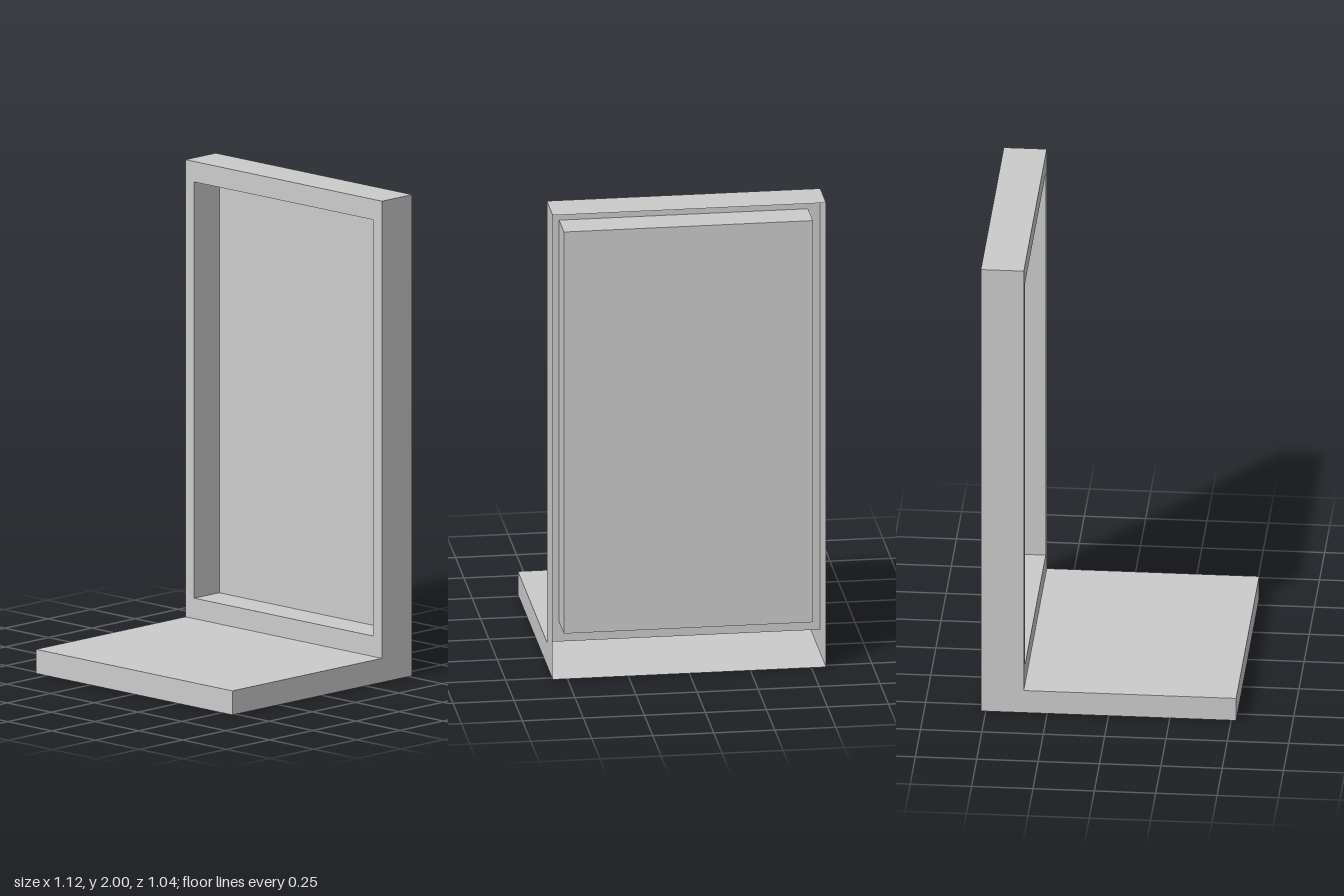
import * as THREE from 'three';

// Main dimensions of the thin-walled L-shaped stand (open at the back)
const W = 0.56, H = 2, BACK = -0.52, FRONT = 0.52;
const FACE = -0.345, BASE = 0.1;
// Recessed window
const RX = 0.51, R0 = 0.185, R1 = 1.915, PANEL = -0.49;

export function createModel() {
  const group = new THREE.Group();
  const material = new THREE.MeshStandardMaterial({ color: 0xcccccc, side: THREE.DoubleSide });

  const add = (name, geometry, x = 0, y = 0, z = 0) => {
    const mesh = new THREE.Mesh(geometry, material);
    mesh.name = name;
    mesh.position.set(x, y, z);
    group.add(mesh);
    return mesh;
  };

  // Horizontal sheet facing up (dir 1) or down (dir -1)
  const level = (name, halfWidth, z0, z1, y, dir) =>
    add(name, new THREE.PlaneGeometry(2 * halfWidth, z1 - z0).rotateX(-dir * Math.PI / 2), 0, y, (z0 + z1) / 2);

  // Outer shell: top, base top, underside and base front edge
  level('frameTop', W, BACK, FACE, H, 1);
  level('baseTop', W, FACE, FRONT, BASE, 1);
  level('baseUnderside', W, BACK, FRONT, 0, -1);
  add('baseFront', new THREE.PlaneGeometry(2 * W, BASE), 0, BASE / 2, FRONT);

  // L-shaped side walls, drawn in (-z, y) and mirrored
  const profile = new THREE.Shape([
    [-FRONT, 0], [-BACK, 0], [-BACK, H], [-FACE, H], [-FACE, BASE], [-FRONT, BASE],
  ].map(([u, y]) => new THREE.Vector2(u, y)));
  const sideGeometry = new THREE.ShapeGeometry(profile).rotateY(Math.PI / 2);
  for (const s of [1, -1]) {
    add(s > 0 ? 'leftSide' : 'rightSide', sideGeometry, s * W).scale.x = s;
  }

  // Front face with the window opening
  const rect = (type, x, y0, y1) => new type([
    new THREE.Vector2(-x, y0), new THREE.Vector2(x, y0),
    new THREE.Vector2(x, y1), new THREE.Vector2(-x, y1),
  ]);
  const face = rect(THREE.Shape, W, BASE, H);
  face.holes.push(rect(THREE.Path, RX, R0, R1));
  add('frontFrame', new THREE.ShapeGeometry(face), 0, 0, FACE);

  // Recess walls and the panel closing it
  const midY = (R0 + R1) / 2, midZ = (PANEL + FACE) / 2;
  level('recessSill', RX, PANEL, FACE, R0, 1);
  level('recessHead', RX, PANEL, FACE, R1, -1);
  for (const s of [1, -1]) {
    add(s > 0 ? 'recessLeft' : 'recessRight',
      new THREE.PlaneGeometry(FACE - PANEL, R1 - R0).rotateY(-s * Math.PI / 2), s * RX, midY, midZ);
  }
  add('recessPanel', new THREE.PlaneGeometry(2 * RX, R1 - R0), 0, midY, PANEL);

  return group;
}
